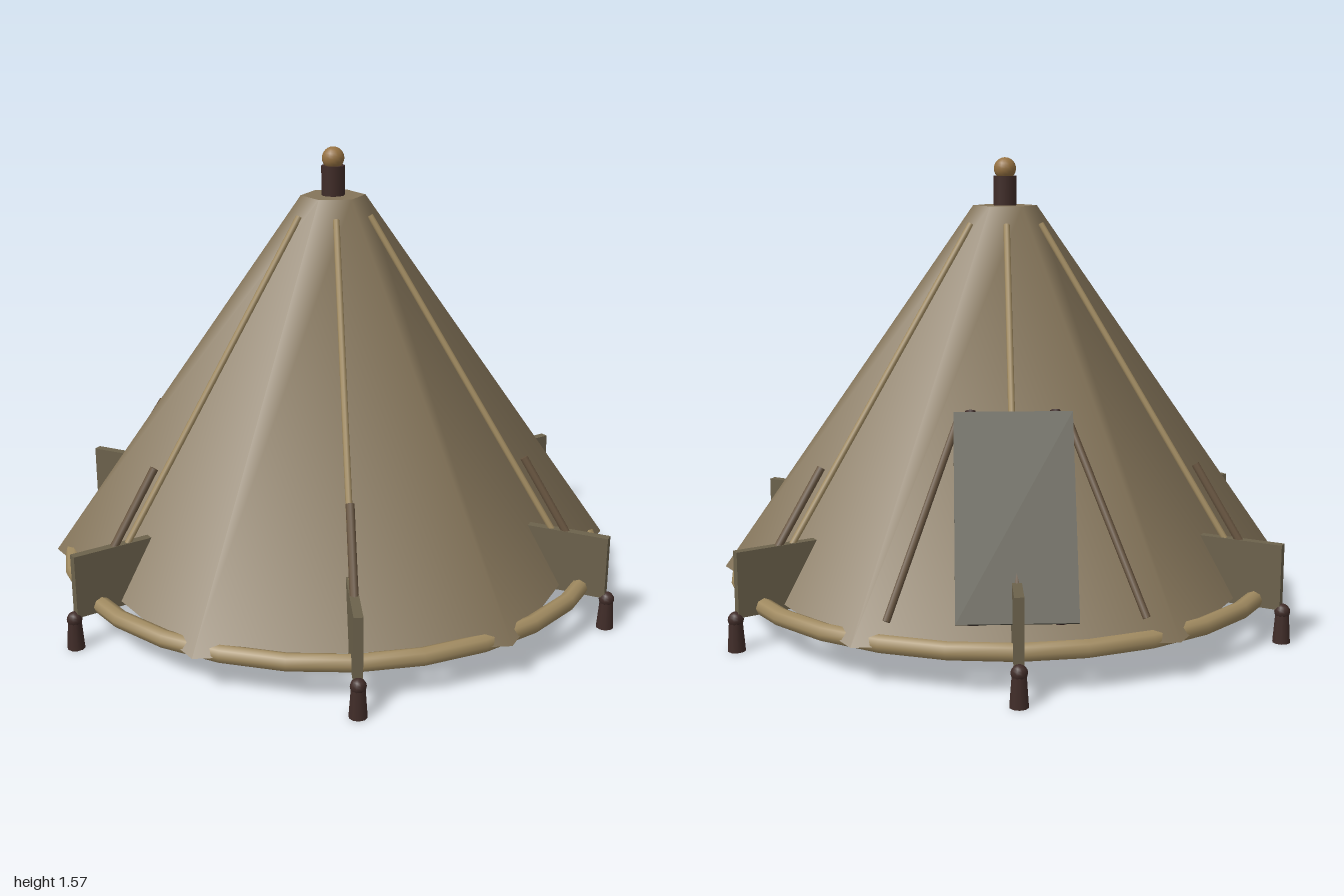
import * as THREE from 'three';

const mat = (color) => new THREE.MeshStandardMaterial({ color, side: THREE.DoubleSide });
const canvas = mat(0x85755a);
const bamboo = mat(0xa08a60);
const wood = mat(0x67543f);
const darkWood = mat(0x402c28);
const board = mat(0x6c624c);
const hatch = mat(0x5b594c);
const brass = mat(0x967242);

function add(parent, name, geometry, material, x = 0, y = 0, z = 0) {
  const mesh = new THREE.Mesh(geometry, material);
  mesh.name = name;
  mesh.position.set(x, y, z);
  parent.add(mesh);
  return mesh;
}

// Straight round rod between two points
function rod(parent, name, a, b, radius, material) {
  const from = new THREE.Vector3(...a);
  const to = new THREE.Vector3(...b);
  const dir = to.clone().sub(from);
  const mesh = add(parent, name, new THREE.CylinderGeometry(radius, radius, dir.length(), 8), material);
  mesh.position.copy(from).add(to).multiplyScalar(0.5);
  mesh.quaternion.setFromUnitVectors(new THREE.Vector3(0, 1, 0), dir.normalize());
  return mesh;
}

export function createModel() {
  const model = new THREE.Group();
  model.name = 'tent';

  // Tent body, slightly shallower than wide
  const body = new THREE.Group();
  body.name = 'body';
  body.scale.z = 0.94;
  model.add(body);

  // Six-sided cover with a vertex on each side
  const cover = new THREE.CylinderGeometry(0.11, 1, 1.28, 6, 1, false, Math.PI / 6);
  add(body, 'cover', cover, canvas, 0, 0.77, 0);

  // Centre pole with ball finial
  add(body, 'centrePole', new THREE.CylinderGeometry(0.04, 0.04, 1.51, 12), darkWood, 0, 0.755, 0);
  add(body, 'finial', new THREE.SphereGeometry(0.038, 16, 12), brass, 0, 1.535, 0);

  // Hoop around the base
  const hoop = add(body, 'baseHoop', new THREE.TorusGeometry(0.942, 0.03, 8, 28), bamboo, 0, 0.135, 0);
  hoop.rotation.x = Math.PI / 2;

  // Six spokes: pole, brace, board and foot over each face
  for (let i = 0; i < 6; i++) {
    const spoke = new THREE.Group();
    spoke.name = 'spoke' + (i + 1);
    spoke.rotation.y = (i * Math.PI) / 3;
    body.add(spoke);
    rod(spoke, 'pole', [0, 1.35, 0.138], [0, 0.26, 0.87], 0.011, bamboo);
    rod(spoke, 'brace', [0, 0.57, 0.715], [0, 0.25, 0.925], 0.014, wood);
    add(spoke, 'board', new THREE.BoxGeometry(0.03, 0.22, 0.66), board, 0, 0.222, 0.695);
    add(spoke, 'foot', new THREE.CylinderGeometry(0.022, 0.03, 0.11, 10), darkWood, 0, 0.055, 1.03);
    add(spoke, 'footCap', new THREE.SphereGeometry(0.026, 10, 8), darkWood, 0, 0.105, 1.03);
  }

  // Sloping door panel at the back, propped on rods
  const door = add(model, 'doorPanel', new THREE.BoxGeometry(0.37, 0.65, 0.022), hatch, 0, 0.51, -0.731);
  door.rotation.x = 0.46;
  for (const s of [-1, 1]) {
    rod(model, 'doorRail', [s * 0.132, 0.805, -0.575], [s * 0.132, 0.205, -0.845], 0.016, darkWood);
    rod(model, 'doorProp', [s * 0.17, 0.78, -0.58], [s * 0.39, 0.22, -0.84], 0.012, wood);
  }

  return model;
}
